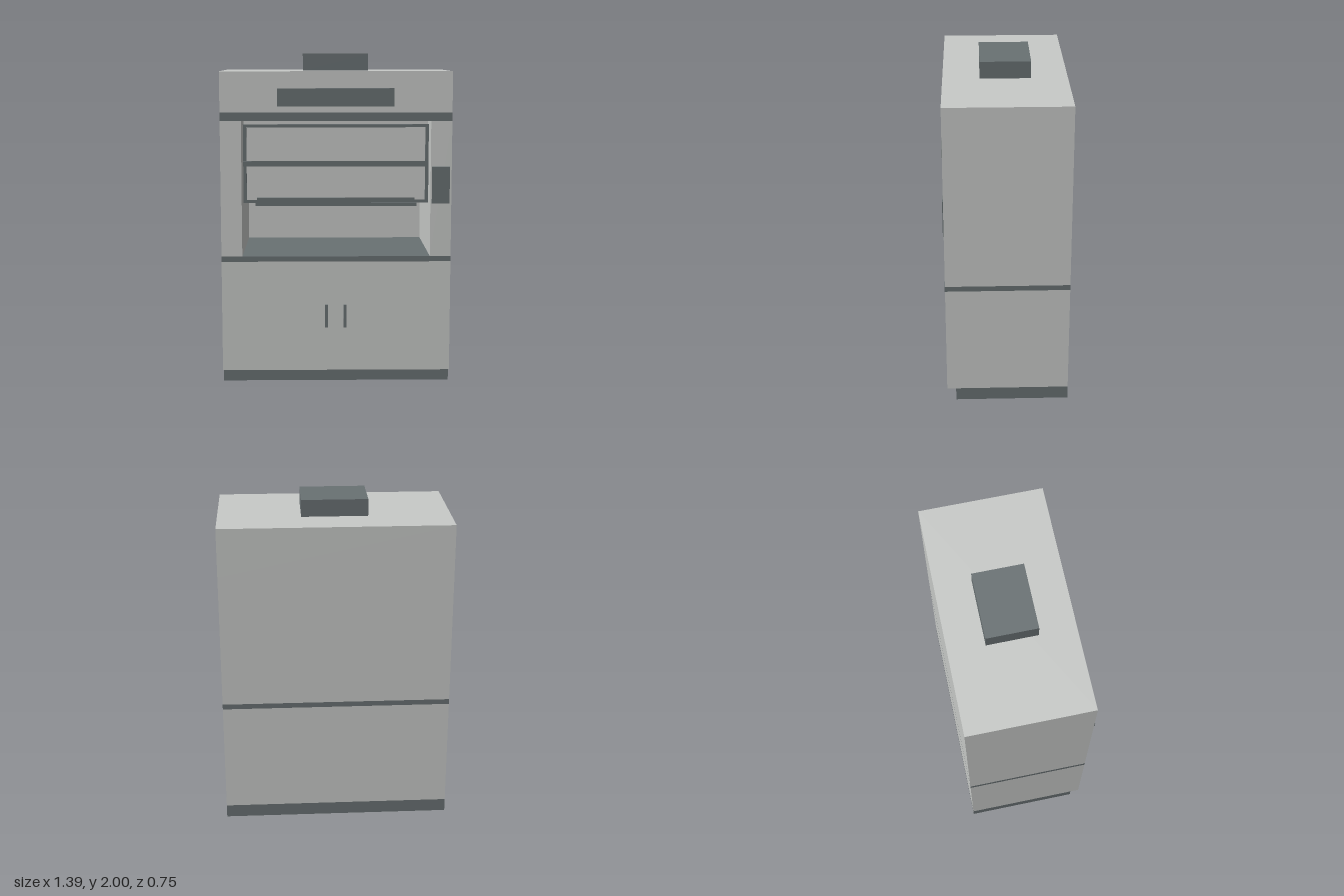
import * as THREE from 'three';

export function createModel() {
  const model = new THREE.Group();
  model.name = 'fumeHood';
  const lightPanel = new THREE.MeshStandardMaterial({ color: 0xc8cac8 });
  lightPanel.name = 'lightPanel';
  const darkTrim = new THREE.MeshStandardMaterial({ color: 0x697173 });
  darkTrim.name = 'darkTrim';

  // Box given by its limits on each axis
  function box(name, material, [x0, x1], [y0, y1], [z0, z1], parent = model) {
    const mesh = new THREE.Mesh(new THREE.BoxGeometry(x1 - x0, y1 - y0, z1 - z0), material);
    mesh.position.set((x0 + x1) / 2, (y0 + y1) / 2, (z0 + z1) / 2);
    mesh.name = name;
    parent.add(mesh);
    return mesh;
  }

  const W = [-0.693, 0.693];
  const back = -0.375, front = 0.362;

  // Lower cabinet with recessed plinth and worktop
  box('plinth', darkTrim, W, [0, 0.08], [back, 0.308]);
  box('cabinet', lightPanel, W, [0.08, 0.755], [back, front]);
  box('worktop', darkTrim, W, [0.755, 0.787], [back, front + 0.002]);
  for (const x of [-0.06, 0.055]) {
    box('doorHandle', darkTrim, [x - 0.009, x + 0.009], [0.348, 0.488], [front, 0.374]);
  }

  // Open work chamber: side walls and back wall
  for (const s of [-1, 1]) {
    const x = [0.567 * s, 0.693 * s].sort((a, b) => a - b);
    box('sideWall', lightPanel, x, [0.787, 1.605], [back, front]);
  }
  box('backWall', lightPanel, [-0.567, 0.567], [0.787, 1.605], [back, -0.345]);
  box('rearBaffle', darkTrim, [-0.48, 0.477], [1.005, 1.1], [-0.345, -0.325]);

  // Header, its trim strip, display and duct collar
  box('header', lightPanel, W, [1.605, 1.898], [back, front]);
  box('headerStrip', darkTrim, W, [1.605, 1.655], [front, front + 0.004]);
  box('displayPanel', darkTrim, [-0.35, 0.346], [1.69, 1.798], [front, front + 0.007]);
  box('ductCollar', darkTrim, [-0.2, 0.197], [1.898, 2], [-0.158, 0.143]);
  box('controlPanel', darkTrim, [0.575, 0.682], [1.108, 1.33], [front, front + 0.005]);

  // Sliding sash: pane, rails, stiles and pull lip
  const sash = new THREE.Group();
  sash.name = 'sash';
  model.add(sash);
  box('sashPane', lightPanel, [-0.555, 0.555], [1.11, 1.605], [0.27, 0.28], sash);
  for (const [y0, y1] of [[1.105, 1.122], [1.325, 1.358], [1.562, 1.58]]) {
    box('sashRail', darkTrim, [-0.56, 0.56], [y0, y1], [0.265, 0.293], sash);
  }
  for (const x of [-0.55, 0.55]) {
    box('sashStile', darkTrim, [x - 0.01, x + 0.01], [1.105, 1.58], [0.265, 0.29], sash);
  }
  box('sashPull', darkTrim, [-0.488, 0.488], [1.086, 1.107], [0.27, 0.302], sash);
  box('sashPullTop', darkTrim, [-0.478, 0.478], [1.122, 1.135], [0.28, 0.294], sash);

  return model;
}
